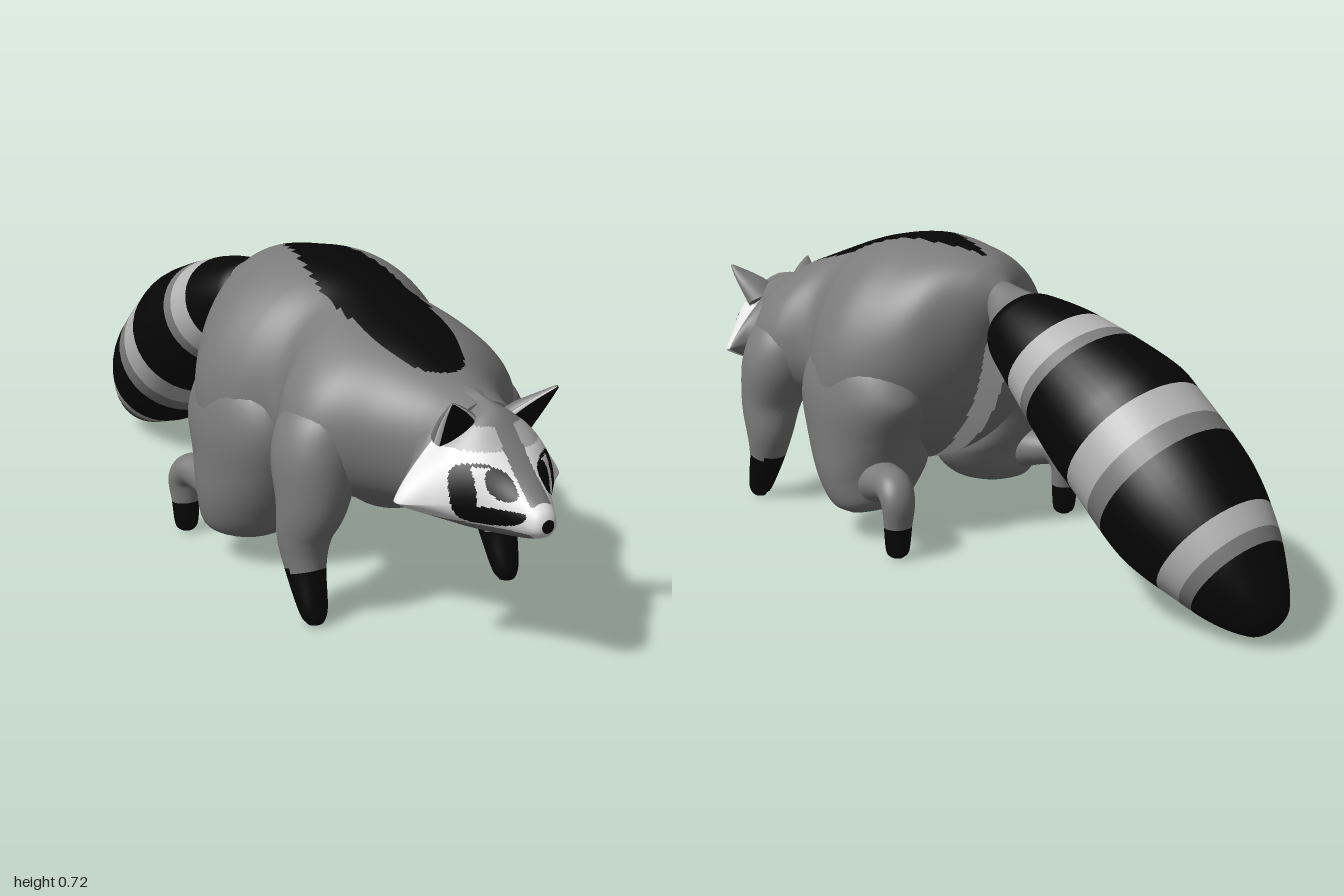
import * as THREE from 'three';

const mat = (name, color) => {
  const m = new THREE.MeshStandardMaterial({ color });
  m.name = name;
  return m;
};

// Colour slots used by the paint rules
const GREY = 0, BLACK = 1, LIGHT = 2, WHITE = 3;

// Smooth interpolation through the stations
function sample(st, t) {
  const f = t * (st.length - 1);
  const i = Math.min(Math.floor(f), st.length - 2), k = f - i;
  const a = st[Math.max(i - 1, 0)], b = st[i], c = st[i + 1], d = st[Math.min(i + 2, st.length - 1)];
  return b.map((v, n) => {
    const m0 = (c[n] - a[n]) / 2, m1 = (d[n] - v) / 2;
    return v + k * m0 + k * k * (3 * (c[n] - v) - 2 * m0 - m1) + k * k * k * (2 * (v - c[n]) + m0 + m1);
  });
}

// Closed loft. Station: [x, y, z, half width, extent up, extent down, pointedness].
// up is the fixed [y, z] direction of the sections; without it they turn with the path.
// paint(x, y, z, angle) picks the colour slot of each quad.
function loft(name, mats, st, { rings, segs, up = null, paint }) {
  const pos = [], faces = [[], [], [], []];
  const full = st.map(s => [...s, ...(s.length < 7 ? [1] : [])]);
  for (let i = 0; i <= rings; i++) {
    const t = i / rings;
    const [x, y, z, hx, above, below, p] = sample(full, t);
    let dir = up;
    if (!dir) {
      const a = sample(full, Math.max(t - 0.01, 0)), b = sample(full, Math.min(t + 0.01, 1));
      const dy = b[1] - a[1], dz = b[2] - a[2], l = Math.hypot(dy, dz) || 1;
      dir = [dz / l, -dy / l];
    }
    for (let j = 0; j < segs; j++) {
      const a = j / segs * Math.PI * 2, s = Math.sin(a), c = Math.cos(a);
      const w = hx * Math.sign(s) * Math.abs(s) ** p;
      const h = (c > 0 ? above : below) * Math.sign(c) * Math.abs(c) ** p;
      pos.push(x + w, y + dir[0] * h, z + dir[1] * h);
    }
  }
  const first = pos.length / 3, last = first + 1;
  pos.push(...full[0].slice(0, 3), ...full[full.length - 1].slice(0, 3));
  const slot = (ids, angle) => {
    const m = [0, 1, 2].map(n => ids.reduce((sum, v) => sum + pos[v * 3 + n], 0) / ids.length);
    return faces[paint(...m, angle)];
  };
  for (let j = 0; j < segs; j++) {
    const k = (j + 1) % segs, angle = (j + 0.5) / segs * Math.PI * 2;
    for (let i = 0; i < rings; i++) {
      const a = i * segs + j, b = i * segs + k, c = a + segs, d = b + segs;
      slot([a, b, c, d], angle).push(a, c, b, b, c, d);
    }
    const e = rings * segs + j, f = rings * segs + k;
    slot([first, j, k], angle).push(first, j, k);
    slot([last, f, e], angle).push(last, f, e);
  }
  const g = new THREE.BufferGeometry();
  g.setAttribute('position', new THREE.Float32BufferAttribute(pos, 3));
  g.setIndex(faces.flat());
  let start = 0;
  faces.forEach((f, n) => {
    if (f.length) g.addGroup(start, f.length, n);
    start += f.length;
  });
  g.computeVertexNormals();
  const mesh = new THREE.Mesh(g, mats);
  mesh.name = name;
  return mesh;
}

// Upright section given by top, widest height and bottom
const section = ([z, top, mid, bottom, hx, p = 1]) => [0, mid, z, hx, top - mid, mid - bottom, p];

export function createModel() {
  const group = new THREE.Group();
  const mats = [
    mat('greyFur', 0x7b7b7b), mat('blackFur', 0x060606),
    mat('lightFur', 0xb4b4b4), mat('whiteFur', 0xe6e6e6),
  ];

  // Body with a dark back stripe and a pale belly line
  const body = [
    [-0.16, 0.635, 0.6, 0.565, 0.03], [-0.12, 0.675, 0.53, 0.4, 0.12],
    [-0.06, 0.7, 0.47, 0.28, 0.22], [0.03, 0.715, 0.41, 0.19, 0.29],
    [0.12, 0.724, 0.39, 0.16, 0.318], [0.22, 0.71, 0.39, 0.18, 0.29],
    [0.32, 0.685, 0.41, 0.225, 0.23], [0.42, 0.65, 0.41, 0.24, 0.275],
    [0.52, 0.615, 0.41, 0.24, 0.265], [0.62, 0.575, 0.42, 0.25, 0.175],
    [0.7, 0.55, 0.42, 0.265, 0.125], [0.78, 0.53, 0.42, 0.29, 0.1],
  ].map(section);
  group.add(loft('body', mats, body, {
    rings: 140, segs: 140, up: [1, 0],
    paint: (x, y, z) => {
      const ax = Math.abs(x), k = (z + 0.1) / 0.76;
      if (y > 0.45 && k > 0 && k < 1) {
        const w = k < 0.6 ? Math.sin(k / 0.6 * Math.PI / 2) : Math.sqrt(1 - ((k - 0.6) / 0.4) ** 2.6);
        if (ax < 0.103 * w) return BLACK;
      }
      if (z < 0.2) return y < 0.5 && ax < 0.04 && (z < 0 || y < 0.32) ? WHITE : GREY;
      if (z < 0.33 && Math.hypot(ax, y - 0.208) < 0.014) return BLACK;
      return y < 0.3 && ax < (z > 0.6 ? 0.08 : 0.045) ? LIGHT : GREY;
    },
  }));

  // Head with flared cheeks, mask, eyes, brows and nose
  const head = [
    [0.68, 0.55, 0.41, 0.28, 0.1], [0.73, 0.545, 0.37, 0.275, 0.15, 1.3],
    [0.765, 0.54, 0.348, 0.275, 0.2, 1.7], [0.82, 0.525, 0.352, 0.28, 0.152, 1.3],
    [0.87, 0.475, 0.36, 0.288, 0.108], [0.915, 0.43, 0.355, 0.293, 0.07],
    [0.96, 0.395, 0.347, 0.303, 0.043], [0.99, 0.37, 0.34, 0.315, 0.027],
    [1.0, 0.352, 0.34, 0.328, 0.012],
  ].map(section);
  group.add(loft('head', mats, head, {
    rings: 150, segs: 150, up: [1, 0],
    paint: (x, y, z) => {
      const ax = Math.abs(x);
      if (z < 0.755) return GREY;
      if (z > 0.96 && Math.hypot(ax, y - 0.34) < 0.014) return BLACK;
      if (Math.hypot(ax, y - 0.345) < 0.036) return z > 0.9 ? WHITE : GREY;
      const eye = Math.hypot((ax - 0.053) / 0.022, (y - 0.406) / 0.028);
      if (eye < 1) return BLACK;
      const ring = Math.max(Math.abs(ax - 0.058) / 0.032, Math.abs(y - 0.398) / 0.036);
      const mask = (Math.abs(ax - 0.079) / 0.047) ** 2.6 + (Math.abs(y - 0.382) / 0.058) ** 2.6 < 1;
      if (mask) return ring < 1 && (ax > 0.055 || y < 0.39) ? WHITE : BLACK;
      if (ax < 0.024 && y > 0.375) return GREY;
      if (y < 0.32 || y > 0.5) return GREY;
      return y > 0.46 ? LIGHT : WHITE;
    },
  }));

  // Tail, tip to root, with paired light and grey rings
  const tail = [
    [1.012, 0.02, 0.015], [0.995, 0.02, 0.05], [0.93, 0.022, 0.092], [0.84, 0.031, 0.13],
    [0.7, 0.035, 0.167], [0.52, 0.047, 0.171], [0.42, 0.046, 0.167], [0.223, 0.023, 0.13],
    [0.1, 0, 0.096], [0.05, 0, 0.062], [-0.03, 0, 0.03],
  ].map(([s, c, r]) =>
    [0, 0.6 - 0.564 * s + 0.826 * c, -0.15 - 0.826 * s - 0.564 * c, r * 1.05, r, r]);
  const bands = [[0.225, 0.32], [0.505, 0.635], [0.805, 0.885]];
  group.add(loft('tail', mats, tail, {
    rings: 200, segs: 40, up: [0.826, -0.564],
    paint: (x, y, z) => {
      const s = -0.826 * (z + 0.15) - 0.564 * (y - 0.6);
      if (s < 0.07) return GREY;
      const band = bands.find(b => s > b[0] && s < b[1]);
      if (!band) return BLACK;
      return (s - band[0]) / (band[1] - band[0]) < 0.65 ? LIGHT : GREY;
    },
  }));

  // Limbs and ears, mirrored left and right
  const limbs = {
    FrontLeg: [
      [0.17, 0.5, 0.45, 0.05, 0.05, 0.05], [0.19, 0.45, 0.455, 0.09, 0.1, 0.09],
      [0.21, 0.37, 0.468, 0.1, 0.11, 0.095], [0.23, 0.27, 0.485, 0.08, 0.09, 0.07],
      [0.246, 0.19, 0.48, 0.06, 0.068, 0.06], [0.25, 0.12, 0.493, 0.045, 0.048, 0.046],
      [0.25, 0.03, 0.53, 0.031, 0.028, 0.03], [0.25, 0.004, 0.535, 0.016, 0.016, 0.016],
    ],
    Haunch: [
      [0.16, 0.54, 0.1, 0.03, 0.04, 0.04], [0.19, 0.46, 0.11, 0.1, 0.14, 0.14],
      [0.203, 0.36, 0.12, 0.119, 0.2, 0.19], [0.195, 0.25, 0.12, 0.128, 0.18, 0.15],
      [0.182, 0.16, 0.11, 0.137, 0.145, 0.115], [0.2, 0.092, 0.09, 0.1, 0.09, 0.08],
      [0.215, 0.068, 0.085, 0.05, 0.04, 0.04],
    ],
    HindLeg: [
      [0.225, 0.15, 0.07, 0.055, 0.06, 0.06], [0.242, 0.165, -0.02, 0.05, 0.045, 0.045],
      [0.258, 0.165, -0.07, 0.046, 0.04, 0.04], [0.265, 0.135, -0.094, 0.042, 0.035, 0.034],
      [0.265, 0.08, -0.092, 0.035, 0.03, 0.03], [0.265, 0.02, -0.09, 0.028, 0.026, 0.026],
      [0.265, 0.004, -0.09, 0.014, 0.014, 0.014],
    ],
    Ear: [
      [0.068, 0.465, 0.77, 0.05, 0.035, 0.03], [0.08, 0.505, 0.8, 0.046, 0.025, 0.022],
      [0.1, 0.535, 0.825, 0.029, 0.014, 0.012], [0.124, 0.562, 0.847, 0.004, 0.004, 0.004],
    ],
  };
  const paints = {
    FrontLeg: (x, y) => (y < 0.12 ? BLACK : GREY),
    Haunch: () => GREY,
    HindLeg: (x, y) => (y < 0.08 ? BLACK : GREY),
    Ear: (x, y, z, angle) => {
      const d = Math.abs(angle - Math.PI);
      return d < 1 ? BLACK : d < 1.4 ? WHITE : GREY;
    },
  };
  for (const [side, s] of [['left', 1], ['right', -1]]) {
    for (const part in limbs) {
      const st = limbs[part].map(([x, ...rest]) => [x * s, ...rest]);
      group.add(loft(side + part, mats, st, { rings: 48, segs: 32, paint: paints[part] }));
    }
  }
  return group;
}
